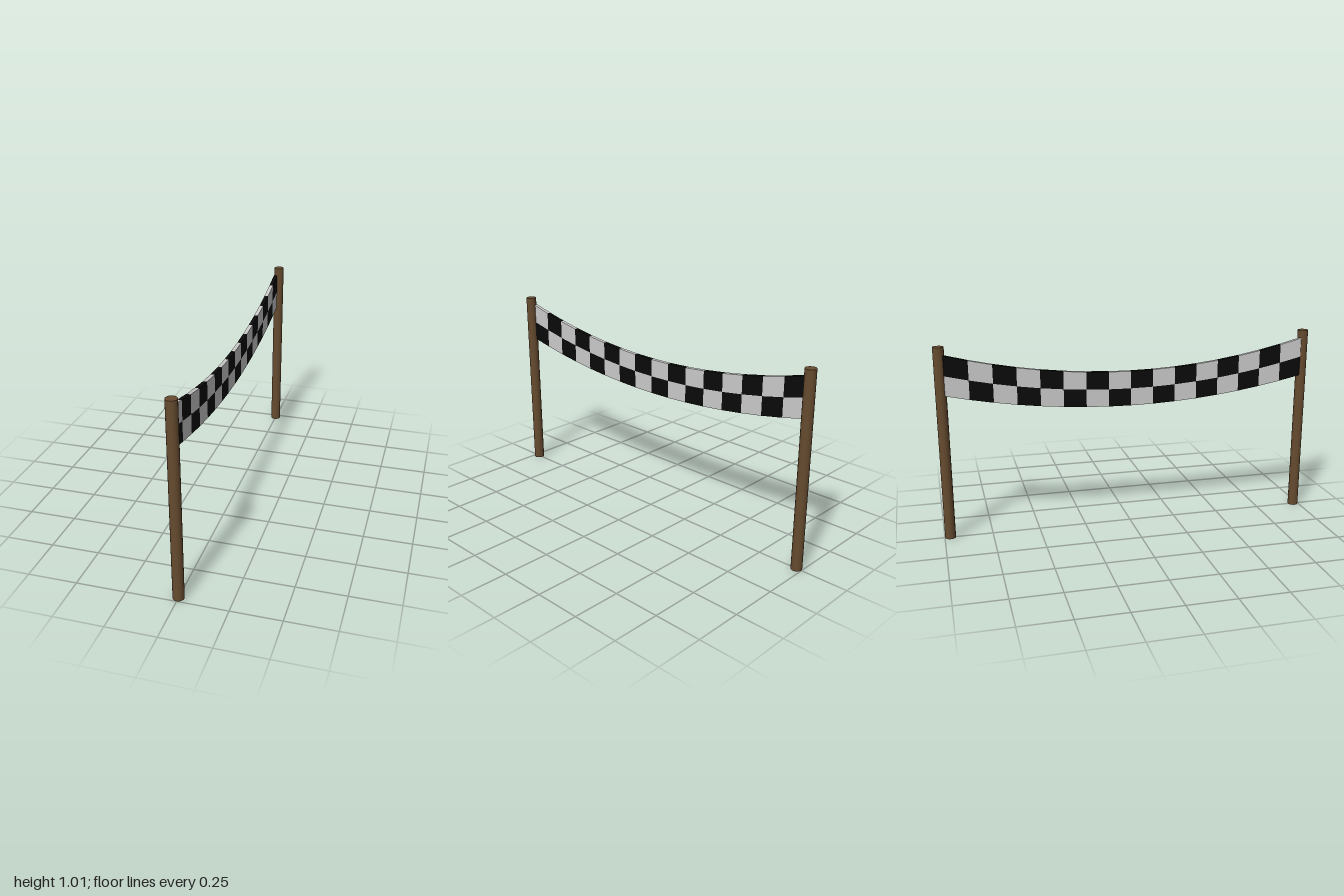
import * as THREE from 'three';
import { mergeGeometries } from 'three/addons/utils/BufferGeometryUtils.js';

const COLUMNS = 16, ROWS = 2;
const HALF_SPAN = 0.952;
const POST_Z = 0.971, POST_RADIUS = 0.028, POST_HEIGHT = 1.013;
const BANNER_X = -0.015, THICKNESS = 0.021;

// Height of the sagging cloth: u runs along the span (-1..1), v from bottom to top (0..1)
function clothHeight(u, v) {
  const bottom = 0.658 + 0.109 * u * u;
  const top = 0.842 + 0.13 * u * u;
  return bottom + (top - bottom) * v;
}

// One square of the cloth, bent from a unit box
function clothPanel(column, row) {
  const geometry = new THREE.BoxGeometry(1, 1, 1);
  const p = geometry.attributes.position;
  for (let i = 0; i < p.count; i++) {
    const u = 2 * (column + 0.5 + p.getZ(i)) / COLUMNS - 1;
    const v = (row + 0.5 + p.getY(i)) / ROWS;
    p.setXYZ(i, BANNER_X + p.getX(i) * THICKNESS, clothHeight(u, v), u * HALF_SPAN);
  }
  geometry.computeVertexNormals();
  return geometry;
}

export function createModel() {
  const model = new THREE.Group();
  model.name = 'checkeredBannerGate';

  // Wooden posts at both ends
  const wood = new THREE.MeshStandardMaterial({ color: 0x664b2f });
  const postGeometry = new THREE.CylinderGeometry(POST_RADIUS, POST_RADIUS, POST_HEIGHT, 20);
  for (const side of [1, -1]) {
    const post = new THREE.Mesh(postGeometry, wood);
    post.name = side > 0 ? 'frontPost' : 'backPost';
    post.position.set(0, POST_HEIGHT / 2, side * POST_Z);
    model.add(post);
  }

  // Checkered banner, light and dark squares alternating
  const light = [], dark = [];
  for (let column = 0; column < COLUMNS; column++) {
    for (let row = 0; row < ROWS; row++) {
      ((column + row) % 2 ? dark : light).push(clothPanel(column, row));
    }
  }
  const banner = new THREE.Group();
  banner.name = 'banner';
  const lightSquares = new THREE.Mesh(mergeGeometries(light), new THREE.MeshStandardMaterial({ color: 0xcccccc }));
  lightSquares.name = 'lightSquares';
  const darkSquares = new THREE.Mesh(mergeGeometries(dark), new THREE.MeshStandardMaterial({ color: 0x0a0a0a }));
  darkSquares.name = 'darkSquares';
  banner.add(lightSquares, darkSquares);
  model.add(banner);

  return model;
}
